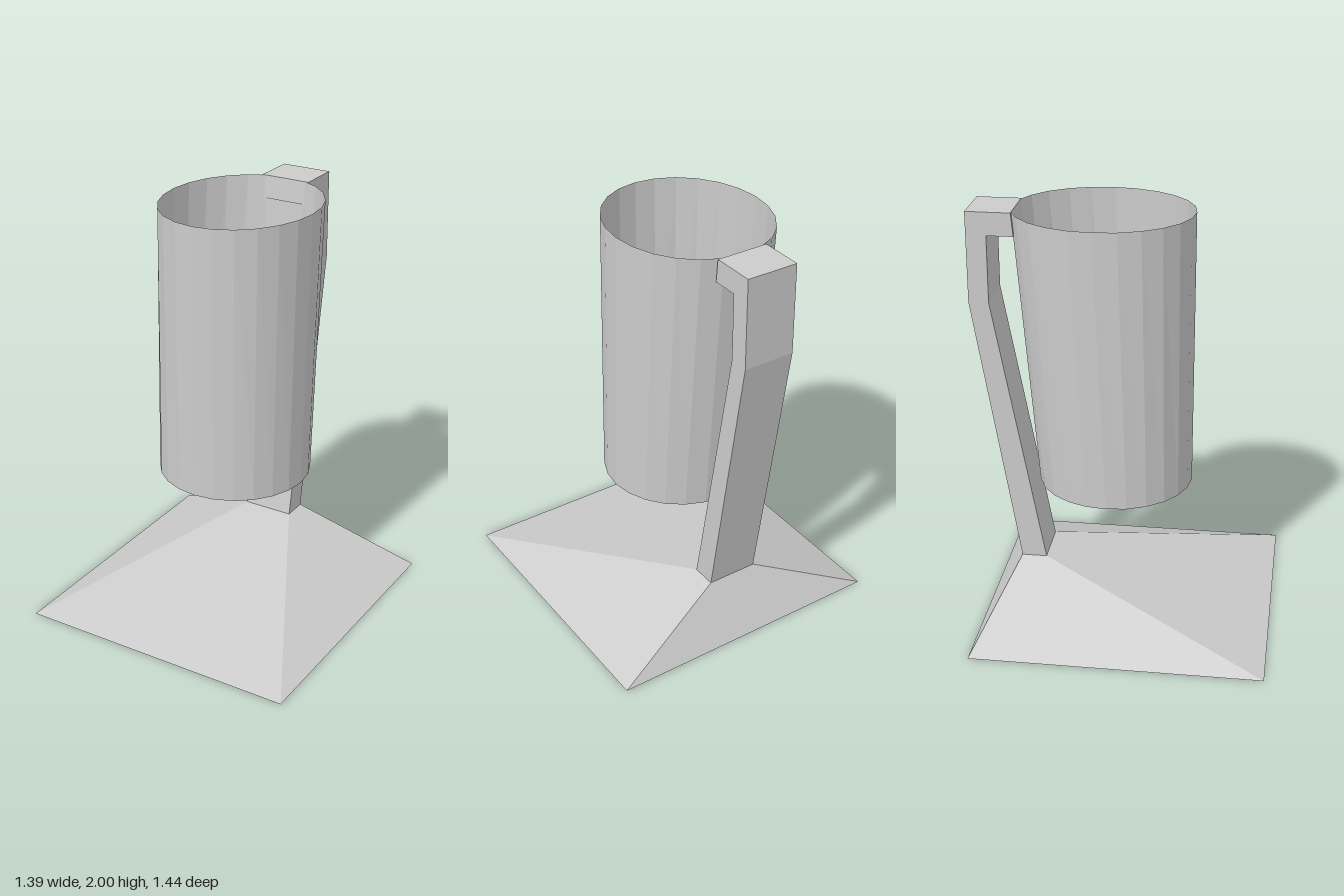
import * as THREE from 'three';

const ARM_LEFT = 0.11, ARM_RIGHT = -0.14;

export function createModel() {
  const group = new THREE.Group();
  const material = new THREE.MeshStandardMaterial({
    color: 0xcccccc, flatShading: true, side: THREE.DoubleSide,
  });
  const add = (name, geometry) => {
    geometry.computeVertexNormals();
    const mesh = new THREE.Mesh(geometry, material);
    mesh.name = name;
    group.add(mesh);
  };

  // Base: a box whose top shrinks to the foot of the arm
  const base = new THREE.BoxGeometry(1, 1, 1);
  const bp = base.attributes.position;
  for (let i = 0; i < bp.count; i++) {
    const left = bp.getX(i) > 0, front = bp.getZ(i) > 0;
    if (bp.getY(i) > 0) bp.setXYZ(i, left ? ARM_LEFT : ARM_RIGHT, 0.26, front ? -0.385 : -0.505);
    else bp.setXYZ(i, left ? 0.693 : -0.693, 0, front ? 0.72 : -0.665);
  }
  add('base', base);

  // Arm: side profile as (distance to the back, height), extruded across x
  const profile = [
    [0.385, 0.26], [0.505, 0.26], [0.72, 1.57], [0.72, 2],
    [0.51, 2], [0.5, 1.89], [0.625, 1.89], [0.625, 1.57],
  ].map(([back, y]) => new THREE.Vector2(back, y));
  const arm = new THREE.ExtrudeGeometry(new THREE.Shape(profile), {
    depth: ARM_LEFT - ARM_RIGHT, bevelEnabled: false,
  });
  arm.rotateY(Math.PI / 2).translate(ARM_RIGHT, 0, 0);
  add('arm', arm);

  // Cup: open top, closed bottom, straight at the front and flaring to the back
  const radius = 0.368, bottom = 0.67, front = 0.315;
  const cup = new THREE.LatheGeometry([
    new THREE.Vector2(0, bottom), new THREE.Vector2(radius, bottom), new THREE.Vector2(radius, 2),
  ], 24);
  const cp = cup.attributes.position;
  for (let i = 0; i < cp.count; i++) {
    const flare = 1 + 0.148 * (cp.getY(i) - bottom) / (2 - bottom);
    cp.setX(i, cp.getX(i) - 0.015);
    cp.setZ(i, front - (radius - cp.getZ(i)) * flare);
  }
  add('cup', cup);

  return group;
}
